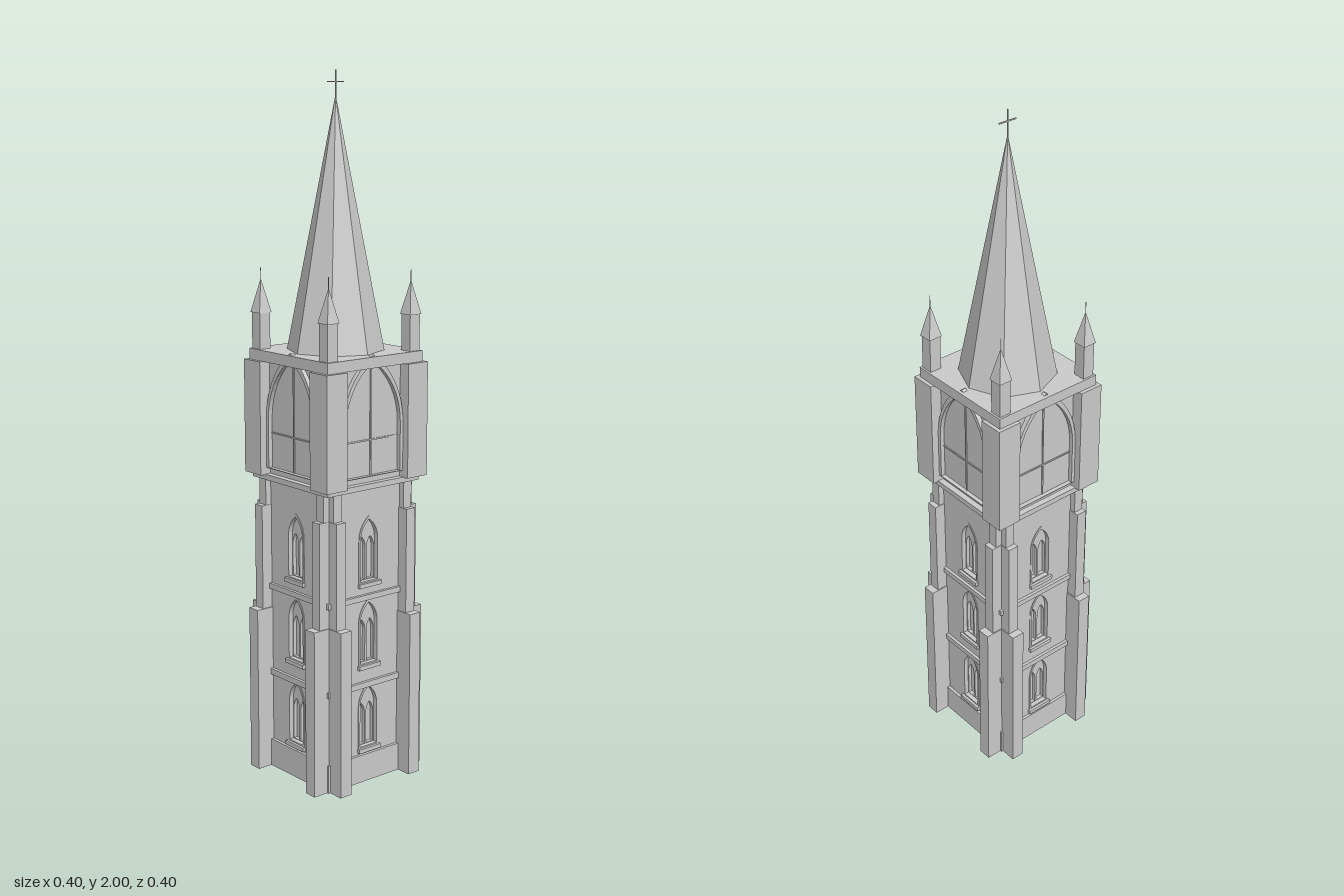
import * as THREE from 'three';

const material = new THREE.MeshStandardMaterial({ color: 0xcccccc, flatShading: true });

function add(parent, name, geometry, x = 0, y = 0, z = 0) {
  const mesh = new THREE.Mesh(geometry, material);
  mesh.name = name;
  mesh.position.set(x, y, z);
  parent.add(mesh);
  return mesh;
}

// Box given by its lower and upper limits
function box(parent, name, [x0, x1], [y0, y1], [z0, z1]) {
  return add(parent, name, new THREE.BoxGeometry(x1 - x0, y1 - y0, z1 - z0),
    (x0 + x1) / 2, (y0 + y1) / 2, (z0 + z1) / 2);
}

// Outline of a pointed arch: half width, sill, spring line and apex heights
function archPoints(w, sill, spring, apex, cx = 0) {
  const h = apex - spring;
  const r = (w * w + h * h) / (2 * w);
  const end = Math.asin(Math.min(1, h / r));
  const right = [];
  for (let i = 0; i <= 8; i++) {
    const a = (end * i) / 8;
    right.push([w - r + r * Math.cos(a), spring + r * Math.sin(a)]);
  }
  const left = right.slice(0, -1).reverse().map(([x, y]) => [-x, y]);
  return [[-w, sill], [w, sill], ...right, ...left].map(([x, y]) => new THREE.Vector2(x + cx, y));
}

function extrude(parent, name, outline, holes, z0, z1) {
  const shape = new THREE.Shape(outline);
  for (const hole of holes) shape.holes.push(new THREE.Path(hole));
  return add(parent, name, new THREE.ExtrudeGeometry(shape, { depth: z1 - z0, bevelEnabled: false }), 0, 0, z0);
}

const rect = (w, y0, y1) => [[-w, y0], [w, y0], [w, y1], [-w, y1]].map((p) => new THREE.Vector2(...p));

// One face of the shaft: wall, twin-light windows and sills
function addShaftFace(side) {
  const sills = [0.1, 0.35, 0.592];
  const outer = sills.map((y) => archPoints(0.036, y, y + 0.125, y + 0.192));
  extrude(side, 'shaftWall', rect(0.143, 0, 0.88), outer, 0.118, 0.145);
  for (const y of sills) {
    const lights = [-1, 1].map((s) => archPoints(0.0125, y + 0.006, y + 0.1, y + 0.13, s * 0.0155));
    extrude(side, 'windowTracery', archPoints(0.036, y, y + 0.125, y + 0.192), lights, 0.122, 0.133);
    extrude(side, 'windowFrame', archPoints(0.037, y, y + 0.125, y + 0.193),
      [archPoints(0.031, y + 0.004, y + 0.125, y + 0.183)], 0.13, 0.147);
    box(side, 'windowSill', [-0.04, 0.04], [y - 0.012, y], [0.13, 0.155]);
  }
}

// One face of the belfry: raised arch moulding and thin glazing bars
function addBelfryFace(side) {
  extrude(side, 'belfryArch', archPoints(0.11, 0.9, 1.04, 1.241),
    [archPoints(0.1, 0.902, 1.04, 1.222)], 0.148, 0.162);
  box(side, 'belfryMullion', [-0.002, 0.002], [0.902, 1.205], [0.148, 0.152]);
  box(side, 'belfryTransom', [-0.1, 0.1], [1.0, 1.004], [0.148, 0.152]);
}

// Stepped buttresses at both ends of a face
function addButtresses(side) {
  const stages = [[0, 0.485, 0.2, 0], [0.485, 0.79, 0.178, 0.003], [0.79, 0.868, 0.163, 0.005]];
  for (const s of [-1, 1]) {
    for (const [y0, y1, reach, inset] of stages) {
      const xs = [s * (0.109 + inset), s * (0.148 - inset)].sort((a, b) => a - b);
      box(side, 'buttress', xs, [y0, y1], [0.12, reach]);
    }
  }
}

export function createModel() {
  const tower = new THREE.Group();
  tower.name = 'churchTower';

  // Inner core, belfry body, plinth and horizontal mouldings
  const square = (name, half, y0, y1) => box(tower, name, [-half, half], [y0, y1], [-half, half]);
  square('core', 0.122, 0.005, 0.88);
  square('belfryBody', 0.149, 0.88, 1.21);
  square('plinth', 0.154, 0, 0.082);
  square('stringCourse', 0.154, 0.283, 0.3);
  square('stringCourse', 0.154, 0.542, 0.558);
  square('belfryLedge', 0.167, 0.866, 0.882);
  square('roofSlab', 0.172, 1.205, 1.236);

  for (let i = 0; i < 4; i++) {
    const side = new THREE.Group();
    side.name = 'towerSide';
    side.rotation.y = (i * Math.PI) / 2;
    addShaftFace(side);
    addBelfryFace(side);
    addButtresses(side);
    tower.add(side);
  }

  // Corner piers and pinnacles
  for (const sx of [-1, 1]) {
    for (const sz of [-1, 1]) {
      const x = sx * 0.148, z = sz * 0.148;
      add(tower, 'belfryPier', new THREE.BoxGeometry(0.073, 0.325, 0.073), sx * 0.1465, 1.0425, sz * 0.1465);
      add(tower, 'pinnacleShaft', new THREE.BoxGeometry(0.036, 0.14, 0.036), x, 1.27, z);
      const cap = new THREE.ConeGeometry(0.021 * Math.SQRT2, 0.095, 4);
      cap.rotateY(Math.PI / 4);
      add(tower, 'pinnacleCap', cap, x, 1.3855, z);
      add(tower, 'pinnacleFinial', new THREE.CylinderGeometry(0.001, 0.001, 0.035, 6), x, 1.445, z);
    }
  }

  // Spire and cross
  add(tower, 'spire', new THREE.ConeGeometry(0.137, 0.7, 8), 0, 1.585, 0);
  box(tower, 'crossPost', [-0.0015, 0.0015], [1.9, 2], [-0.0015, 0.0015]);
  box(tower, 'crossArm', [-0.028, 0.028], [1.967, 1.97], [-0.0015, 0.0015]);

  return tower;
}
